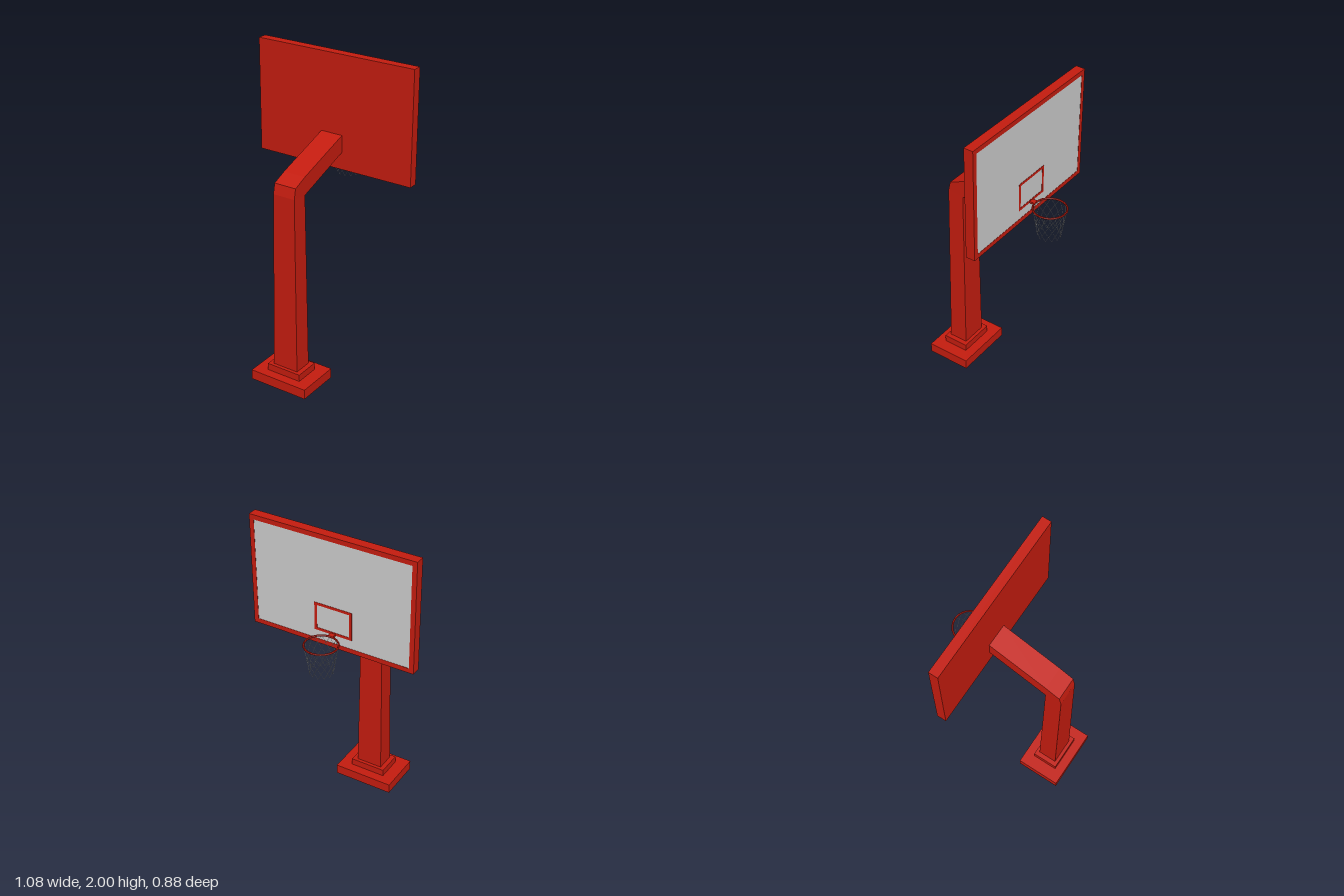
import * as THREE from 'three';

const red = new THREE.MeshStandardMaterial({ color: 0xc41c0f, flatShading: true });
const grey = new THREE.MeshStandardMaterial({ color: 0xcccccc, flatShading: true });
const CX = -0.012; // centre line of post, arm and hoop

function add(parent, name, geometry, material, x = 0, y = 0, z = 0) {
  const mesh = new THREE.Mesh(geometry, material);
  mesh.name = name;
  mesh.position.set(x, y, z);
  parent.add(mesh);
  return mesh;
}

// Box given by its lower and upper corners
function box(parent, name, [x0, y0, z0], [x1, y1, z1], material = red) {
  return add(parent, name, new THREE.BoxGeometry(x1 - x0, y1 - y0, z1 - z0), material,
    (x0 + x1) / 2, (y0 + y1) / 2, (z0 + z1) / 2);
}

// Flat rectangular border
function border(w, h, t, depth) {
  const rect = (C, a, b) => new C([[-a, -b], [a, -b], [a, b], [-a, b]].map(p => new THREE.Vector2(...p)));
  const shape = rect(THREE.Shape, w / 2, h / 2);
  shape.holes.push(rect(THREE.Path, w / 2 - t, h / 2 - t));
  return new THREE.ExtrudeGeometry(shape, { depth, bevelEnabled: false });
}

// Bent post: each section is [half width, outer z, outer y, inner z, inner y]
function postGeometry() {
  const sections = [
    [0.087, 0.355, 0.11, 0.232, 0.11],
    [0.074, 0.347, 1.265, 0.24, 1.255],
    [0.074, 0.333, 1.33, 0.24, 1.255],
    [0.074, 0.24, 1.37, 0.24, 1.255],
    [0.074, -0.15, 1.502, -0.15, 1.392],
  ];
  const pos = [], index = [];
  for (const [w, oz, oy, iz, iy] of sections) {
    pos.push(-w, oy, oz, w, oy, oz, w, iy, iz, -w, iy, iz);
  }
  for (let s = 0; s < sections.length - 1; s++) {
    for (let k = 0; k < 4; k++) {
      const a = s * 4 + k, b = s * 4 + (k + 1) % 4;
      index.push(a, b, b + 4, a, b + 4, a + 4);
    }
  }
  const e = (sections.length - 1) * 4;
  index.push(0, 2, 1, 0, 3, 2, e, e + 1, e + 2, e, e + 2, e + 3);
  const g = new THREE.BufferGeometry();
  g.setAttribute('position', new THREE.Float32BufferAttribute(pos, 3));
  g.setIndex(index);
  const flat = g.toNonIndexed();
  flat.computeVertexNormals();
  return flat;
}

export function createModel() {
  const model = new THREE.Group();
  model.name = 'basketballHoop';

  // Stepped base and post
  box(model, 'base', [-0.212, 0, 0.148], [0.188, 0.065, 0.437]);
  box(model, 'basePlinth', [-0.13, 0.065, 0.21], [0.107, 0.11, 0.377]);
  add(model, 'postAndArm', postGeometry(), red, CX);

  // Backboard with framed panel on the playing side
  const board = new THREE.Group();
  board.name = 'backboard';
  model.add(board);
  box(board, 'boardBody', [-0.54, 1.28, -0.201], [0.54, 2, -0.145]);
  add(board, 'boardFrame', border(1.08, 0.72, 0.03, 0.004), red, 0, 1.64, -0.205);
  box(board, 'boardPanel', [-0.511, 1.309, -0.2035], [0.511, 1.971, -0.2], grey);
  add(board, 'targetRectangle', border(0.25, 0.185, 0.017, 0.004), red, CX, 1.46, -0.205);

  // Rim with bracket, and net
  const hoop = new THREE.Group();
  hoop.name = 'hoop';
  hoop.position.set(CX, 1.371, -0.335);
  model.add(hoop);
  add(hoop, 'rim', new THREE.TorusGeometry(0.101, 0.006, 6, 24).rotateX(Math.PI / 2), red);
  box(hoop, 'rimBracket', [-0.017, -0.006, 0.098], [0.017, 0.006, 0.132]);

  const net = new THREE.Group();
  net.name = 'net';
  hoop.add(net);
  const cords = 12, step = Math.PI * 2 / cords, levels = 5;
  for (const dir of [-1, 1]) {
    for (let i = 0; i < cords; i++) {
      const points = [];
      for (let k = 0; k <= levels; k++) {
        const t = k / levels;
        const r = THREE.MathUtils.lerp(0.1, 0.069, t);
        const a = i * step + dir * k * step / 2;
        points.push(new THREE.Vector3(r * Math.cos(a), -0.191 * t, r * Math.sin(a)));
      }
      const curve = new THREE.CatmullRomCurve3(points);
      add(net, 'netCord', new THREE.TubeGeometry(curve, 10, 0.001, 4), grey);
    }
  }
  return model;
}
